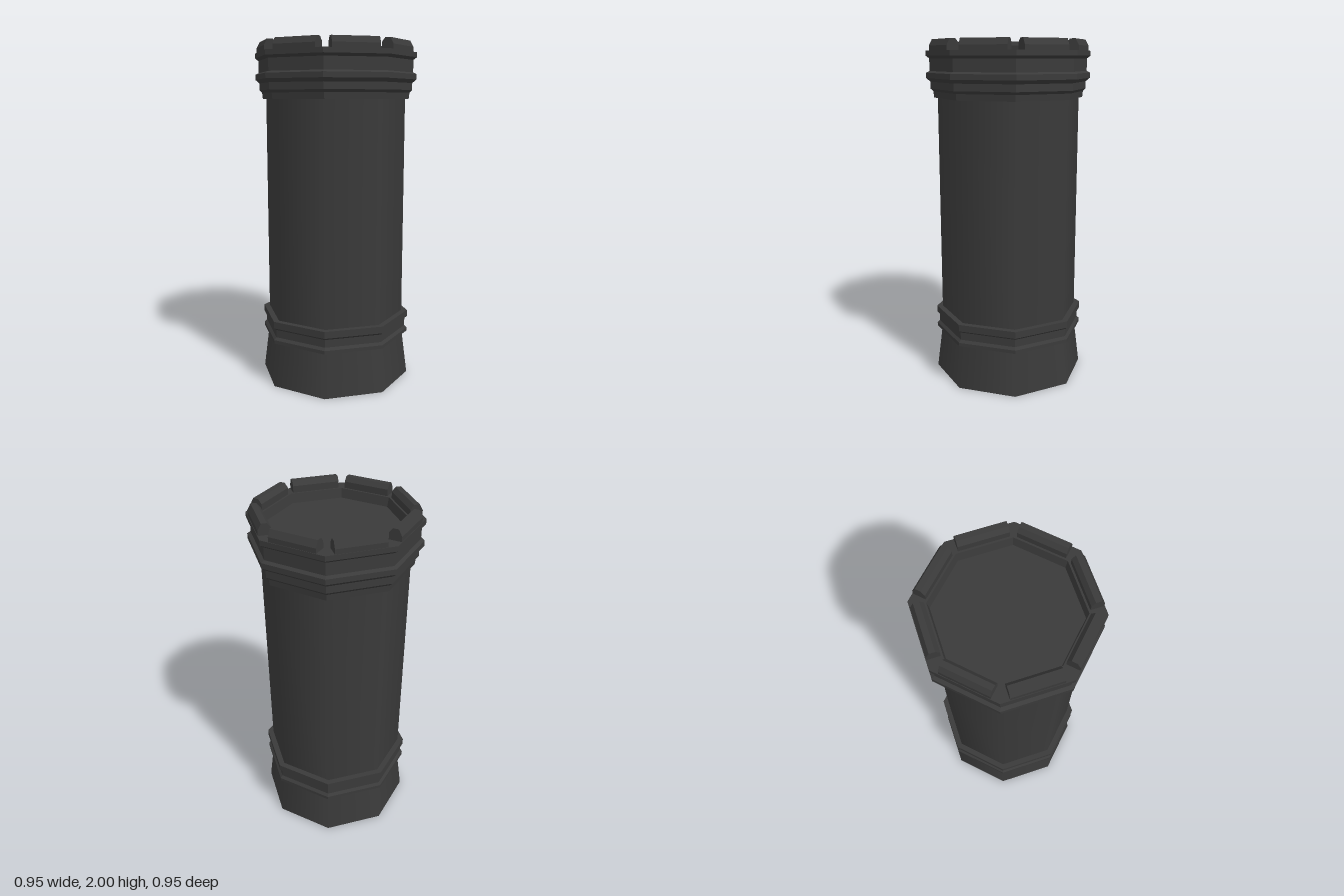
import * as THREE from 'three';

const SIDES = 8;

export function createModel() {
  const tower = new THREE.Group();
  tower.name = 'tower';
  const color = 0x3a3a3a;
  const flat = new THREE.MeshStandardMaterial({ color, flatShading: true });
  const smooth = new THREE.MeshStandardMaterial({ color });
  const thin = new THREE.MeshStandardMaterial({ color, side: THREE.DoubleSide });

  // Eight-sided turned part from [radius, height] pairs
  function turned(name, profile, material) {
    const points = profile.map(([r, y]) => new THREE.Vector2(r, y));
    const mesh = new THREE.Mesh(new THREE.LatheGeometry(points, SIDES), material);
    mesh.name = name;
    tower.add(mesh);
  }

  // Flared open foot and tall shaft
  turned('foot', [[0.45, 0], [0.415, 0.27]], thin);
  turned('shaft', [[0.412, 0.38], [0.412, 1.7]], smooth);

  // Stepped recess closing the foot from inside
  turned('footRecess', [
    [0, 0.42], [0.25, 0.42], [0.25, 0.34], [0.28, 0.33], [0.29, 0.27], [0.415, 0.265],
  ], flat);

  // Double moulding above the foot
  turned('lowerMoulding', [
    [0.41, 0.265], [0.447, 0.265], [0.447, 0.285], [0.432, 0.3], [0.432, 0.345],
    [0.447, 0.357], [0.447, 0.397], [0.41, 0.397],
  ], flat);

  // Stepped capital with a sunken roof
  turned('capital', [
    [0.41, 1.675], [0.433, 1.675], [0.437, 1.71], [0.452, 1.725], [0.452, 1.765],
    [0.476, 1.785], [0.476, 1.815], [0.456, 1.825], [0.456, 1.895], [0.476, 1.91],
    [0.476, 1.938], [0.386, 1.938], [0.376, 1.885], [0, 1.885],
  ], flat);

  // Chamfered battlement on each side of the rim
  const section = new THREE.Shape([
    [0.367, 1.93], [0.437, 1.93], [0.437, 1.965], [0.418, 2], [0.387, 2], [0.367, 1.975],
  ].map(([x, y]) => new THREE.Vector2(x, y)));
  const length = 0.266;
  const block = new THREE.ExtrudeGeometry(section, { depth: length, bevelEnabled: false });
  block.translate(0, 0, -length / 2);
  const battlements = new THREE.Group();
  battlements.name = 'battlements';
  for (let i = 0; i < SIDES; i++) {
    const mesh = new THREE.Mesh(block, flat);
    mesh.name = 'battlement';
    mesh.rotation.y = ((i + 0.5) / SIDES) * Math.PI * 2;
    battlements.add(mesh);
  }
  tower.add(battlements);

  return tower;
}
